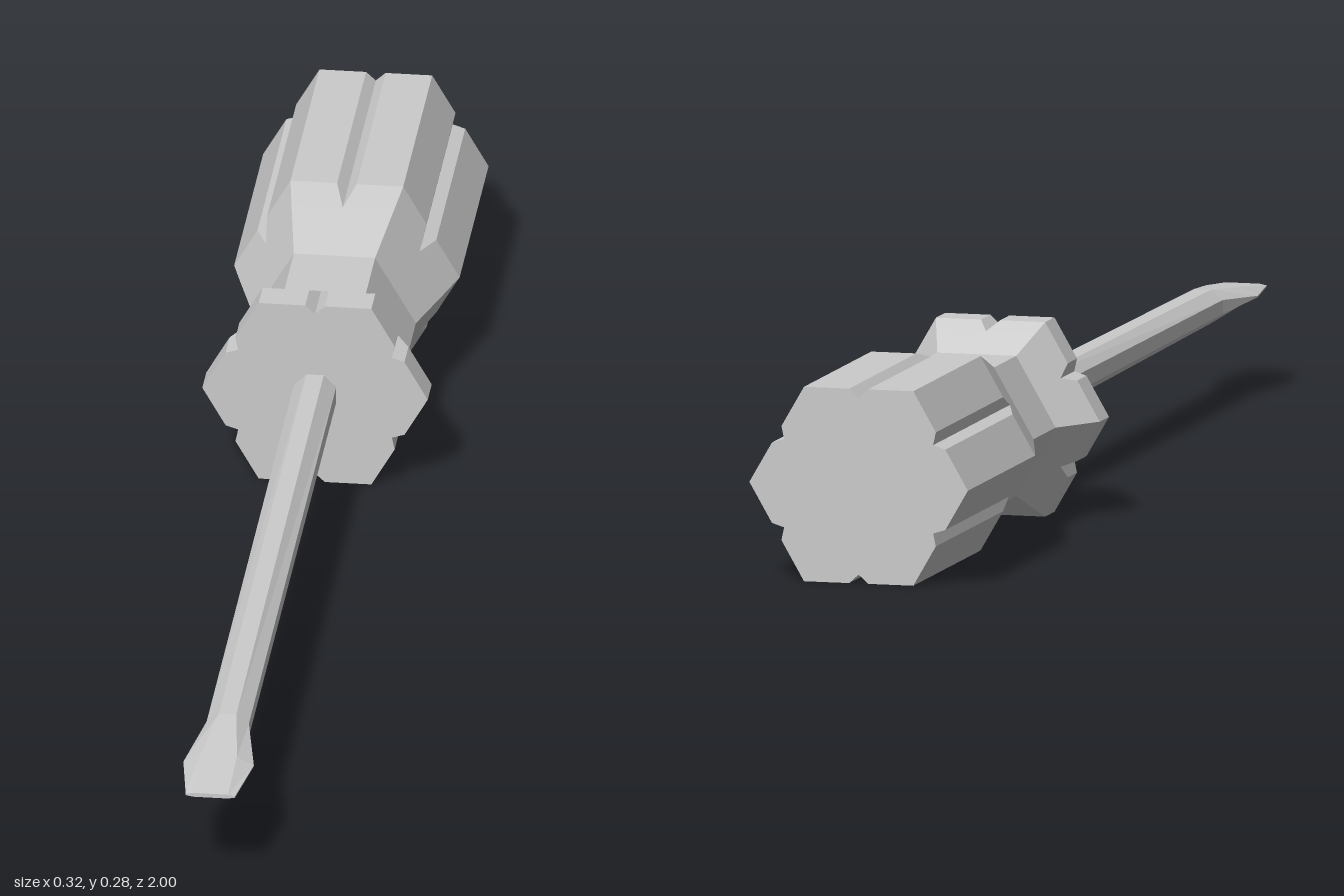
import * as THREE from 'three';

const AXIS_Y = 0.139; // height of the tool's long axis
const COS30 = Math.cos(Math.PI / 6);

// Skin a list of rings [[x, y, z], ...] running towards +z, with fan caps at both ends
function loft(name, rings, material) {
  const pos = [];
  const tri = (a, b, c) => pos.push(...a, ...b, ...c);
  const n = rings[0].length;
  const first = rings[0], last = rings[rings.length - 1];
  for (let i = 0; i < n; i++) {
    const j = (i + 1) % n;
    for (let k = 0; k < rings.length - 1; k++) {
      const p = rings[k], q = rings[k + 1];
      tri(p[i], p[j], q[j]);
      tri(p[i], q[j], q[i]);
    }
    tri([0, 0, first[0][2]], first[j], first[i]);
    tri([0, 0, last[0][2]], last[i], last[j]);
  }
  const geometry = new THREE.BufferGeometry();
  geometry.setAttribute('position', new THREE.Float32BufferAttribute(pos, 3));
  geometry.computeVertexNormals();
  const mesh = new THREE.Mesh(geometry, material);
  mesh.name = name;
  mesh.position.y = AXIS_Y;
  return mesh;
}

// Hexagon with a V groove in the middle of each side; grooves fade out where the grip narrows
function gripRing(z, apothem) {
  const floor = 0.126;
  const depth = Math.max(0, apothem - floor);
  const half = depth * 1.1;
  const radius = apothem / COS30;
  const ring = [];
  for (let s = 0; s < 6; s++) {
    const corner = s * Math.PI / 3, mid = corner + Math.PI / 6;
    const c = Math.cos(mid), d = Math.sin(mid);
    const onSide = (out, along) => [out * c - along * d, out * d + along * c, z];
    ring.push(
      [radius * Math.cos(corner), radius * Math.sin(corner), z],
      onSide(apothem, -half), onSide(apothem - depth, 0), onSide(apothem, half));
  }
  return ring;
}

// Eight-sided section: half width, half height, half of the top flat, half of the side flat
function bladeRing(z, w, h, top, side) {
  return [[w, -side], [w, side], [top, h], [-top, h], [-w, side], [-w, -side], [-top, -h], [top, -h]]
    .map(([x, y]) => [x, y, z]);
}

export function createModel() {
  const group = new THREE.Group();
  group.name = 'screwdriver';
  const material = new THREE.MeshStandardMaterial({ color: 0xcccccc, flatShading: true });

  // Grip: long grooved end, slim neck, flared collar
  const grip = [
    [-1, 0.1386], [-0.65, 0.1386], [-0.6, 0.126], [-0.5, 0.1],
    [-0.385, 0.1], [-0.337, 0.126], [-0.313, 0.1386], [-0.265, 0.1386],
  ];
  group.add(loft('handle', grip.map(([z, a]) => gripRing(z, a)), material));

  // Shaft running into the flattened, flared tip
  group.add(loft('shaftAndBlade', [
    bladeRing(-0.27, 0.03, 0.03, 0.0124, 0.0124),
    bladeRing(0.79, 0.03, 0.024, 0.0124, 0.01),
    bladeRing(0.9, 0.05, 0.013, 0.026, 0.001),
    bladeRing(1, 0.035, 0.003, 0.025, 0.001),
  ], material));

  return group;
}
